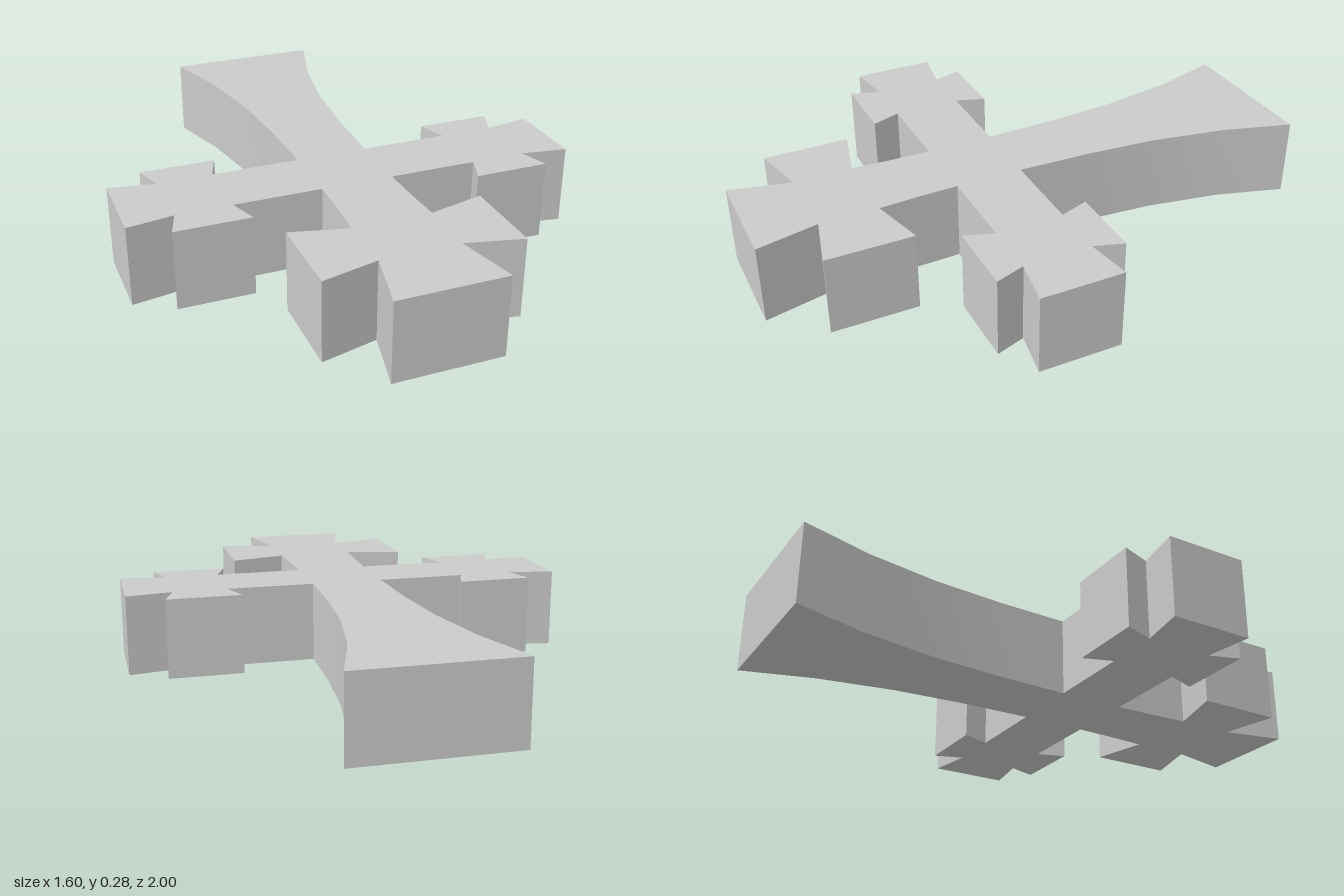
import * as THREE from 'three';
import { toCreasedNormals } from 'three/addons/utils/BufferGeometryUtils.js';

const HEIGHT = 0.285;

// Right half of the plan outline as [x, z], from the flared end to the front end
const HALF_OUTLINE = [
  // flared long arm
  [0.28, -1], [0.205, -0.75], [0.157, -0.48], [0.136, -0.22], [0.128, 0.045],
  // side arm with its small cross
  [0.44, 0.045], [0.403, -0.06], [0.67, -0.06], [0.635, 0.045],
  [0.8, 0.018], [0.8, 0.312],
  [0.635, 0.285], [0.67, 0.39], [0.403, 0.39], [0.44, 0.285], [0.128, 0.285],
  // front arm with its larger cross
  [0.132, 0.43], [0.14, 0.57], [0.34, 0.52], [0.34, 0.828], [0.14, 0.78], [0.19, 1],
];

export function createModel() {
  const group = new THREE.Group();
  group.name = 'flaredCross';

  // Mirror the half outline; plan z becomes -y in the shape
  const mirrored = HALF_OUTLINE.map(([x, z]) => [-x, z]).reverse();
  const outline = [...HALF_OUTLINE, ...mirrored].map(([x, z]) => new THREE.Vector2(x, -z));

  // Raise the flat plan; walls blend across slanted corners, caps stay crisp
  const slab = new THREE.ExtrudeGeometry(new THREE.Shape(outline), {
    depth: HEIGHT,
    bevelEnabled: false,
  });
  slab.rotateX(-Math.PI / 2);

  const cross = new THREE.Mesh(
    toCreasedNormals(slab, THREE.MathUtils.degToRad(85)),
    new THREE.MeshStandardMaterial({ color: 0xcccccc }),
  );
  cross.name = 'crossBody';
  group.add(cross);

  return group;
}
